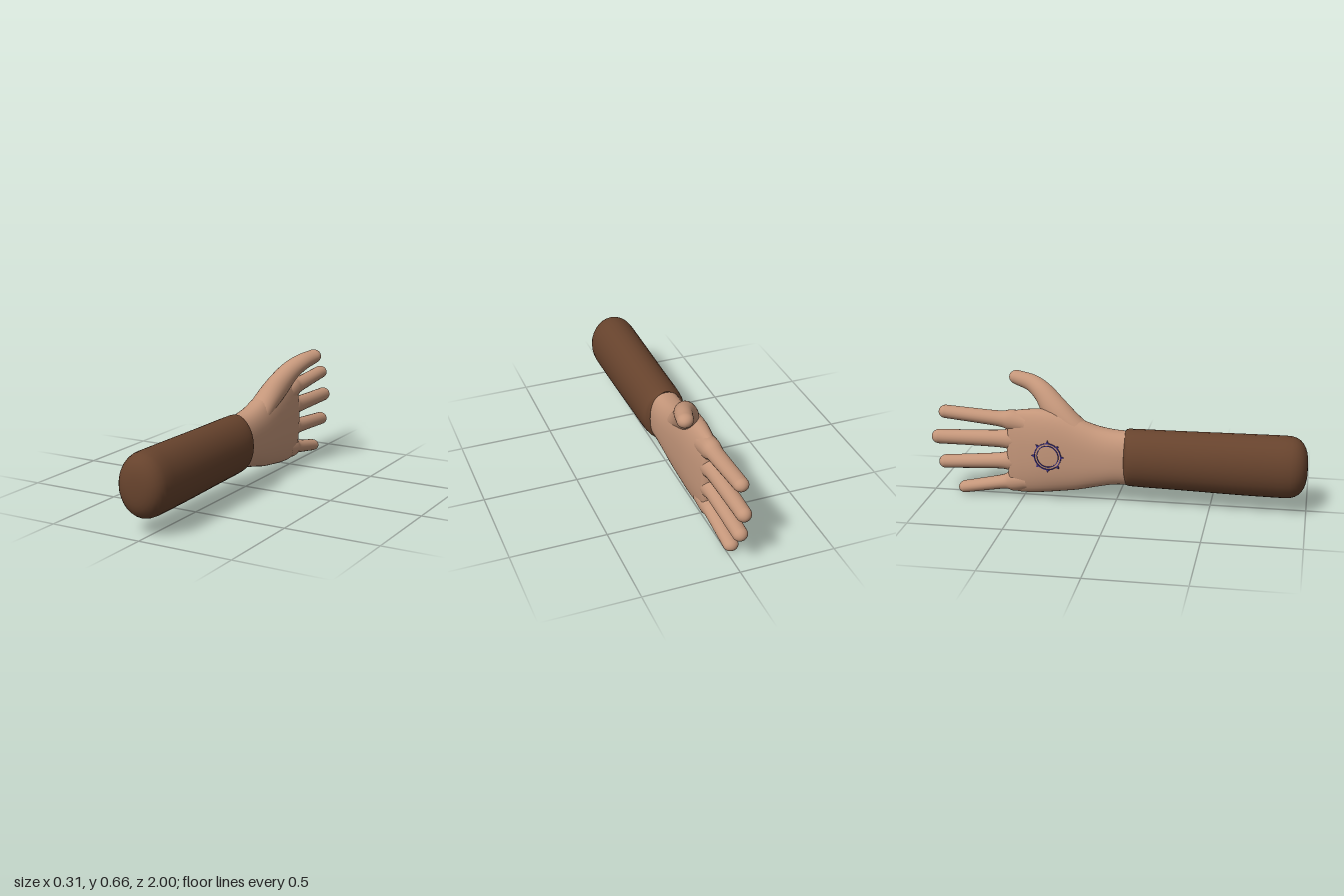
import * as THREE from 'three';

const skin = new THREE.MeshStandardMaterial({ color: 0xc4967a });
skin.name = 'skin';
const cloth = new THREE.MeshStandardMaterial({ color: 0x67432d });
cloth.name = 'brown sleeve';
const ink = new THREE.MeshStandardMaterial({ color: 0x3d2f7d });
ink.name = 'violet ink';

const signedPow = (v, p) => Math.sign(v) * Math.pow(Math.abs(v), p);

// Smooth tube through keys [x, y, z, halfWidth, halfHeight], closed by a rounded end.
// axis fixes the ring direction; without it, rings follow the path.
function loft(keys, { cap, axis = null, square = 2, capPower = 1, steps = 24, sides = 28 }) {
  const path = new THREE.CatmullRomCurve3(keys.map(k => new THREE.Vector3(k[0], k[1], k[2])), false, 'catmullrom');
  const size = new THREE.CatmullRomCurve3(keys.map(k => new THREE.Vector3(k[3], k[4], 0)), false, 'catmullrom');
  const positions = [], index = [];
  const addRing = (c, t, hx, hy) => {
    const u = new THREE.Vector3(1, 0, 0).addScaledVector(t, -t.x).normalize();
    const v = new THREE.Vector3().crossVectors(t, u);
    for (let j = 0; j < sides; j++) {
      const a = (j / sides) * Math.PI * 2;
      const p = c.clone()
        .addScaledVector(u, hx * signedPow(Math.cos(a), 2 / square))
        .addScaledVector(v, hy * signedPow(Math.sin(a), 2 / square));
      positions.push(p.x, p.y, p.z);
    }
  };
  for (let i = 0; i <= steps; i++) {
    const s = size.getPoint(i / steps);
    addRing(path.getPoint(i / steps), axis || path.getTangent(i / steps), s.x, s.y);
  }
  // rounded end
  const end = path.getPoint(1), dir = axis || path.getTangent(1), last = size.getPoint(1);
  const capRings = 8;
  for (let i = 1; i < capRings; i++) {
    const a = (i / capRings) * Math.PI / 2;
    const k = Math.pow(Math.cos(a), capPower);
    const c = end.clone().addScaledVector(dir, cap * Math.pow(Math.sin(a), capPower));
    addRing(c, dir, last.x * k, last.y * k);
  }
  const tip = end.clone().addScaledVector(dir, cap);
  const rings = positions.length / 3 / sides;
  positions.push(tip.x, tip.y, tip.z);
  for (let j = 0; j < sides; j++) {
    const n = (j + 1) % sides;
    for (let i = 0; i < rings - 1; i++) {
      const a = i * sides + j, b = i * sides + n;
      index.push(a, b, b + sides, a, b + sides, a + sides);
    }
    index.push((rings - 1) * sides + j, (rings - 1) * sides + n, rings * sides);
  }
  const g = new THREE.BufferGeometry();
  g.setAttribute('position', new THREE.Float32BufferAttribute(positions, 3));
  g.setIndex(index);
  g.computeVertexNormals();
  return g;
}

export function createModel() {
  const group = new THREE.Group();
  const add = (name, geometry, material, parent = group) => {
    const m = new THREE.Mesh(geometry, material);
    m.name = name;
    parent.add(m);
    return m;
  };

  // Sleeve: open cuff at the wrist, rounded closed end at the front
  add('sleeve', loft([
    [-0.022, 0.254, 0.055, 0.082, 0.14],
    [-0.022, 0.255, 0.058, 0.098, 0.152],
    [-0.022, 0.254, 0.11, 0.122, 0.155],
    [-0.022, 0.252, 0.35, 0.126, 0.158],
    [-0.022, 0.25, 0.65, 0.13, 0.163],
    [-0.022, 0.25, 0.88, 0.132, 0.165],
  ], { cap: 0.12, axis: new THREE.Vector3(0, 0, 1), capPower: 0.75, steps: 40 }), cloth);

  const hand = new THREE.Group();
  hand.name = 'hand';
  group.add(hand);

  // Palm and wrist
  add('palm', loft([
    [-0.023, 0.253, 0.1, 0.088, 0.144],
    [-0.024, 0.253, 0, 0.09, 0.147],
    [-0.024, 0.252, -0.1, 0.088, 0.166],
    [-0.024, 0.258, -0.2, 0.086, 0.195],
    [-0.024, 0.268, -0.3, 0.083, 0.22],
    [-0.024, 0.266, -0.4, 0.077, 0.231],
    [-0.024, 0.259, -0.5, 0.063, 0.23],
    [-0.024, 0.257, -0.555, 0.052, 0.222],
  ], { cap: 0.03, axis: new THREE.Vector3(0, 0, -1), square: 2.4, steps: 35, sides: 40 }), skin, hand);

  // Fingers: base height, tip height, tip depth, radius
  const fingers = [
    ['indexFinger', 0.428, 0.457, -0.955, 0.037],
    ['middleFinger', 0.322, 0.316, -1.0, 0.041],
    ['ringFinger', 0.202, 0.176, -0.965, 0.038],
    ['littleFinger', 0.088, 0.037, -0.86, 0.034],
  ];
  for (const [name, y0, y1, zTip, r] of fingers) {
    const at = (f, hx, hy) => [-0.024, y0 + (y1 - y0) * f, -0.56 + (zTip + r + 0.56) * f, hx, hy];
    add(name, loft([
      [-0.024, y0 + (0.26 - y0) * 0.08, -0.48, 0.056, 0.056],
      at(0, 0.052, 0.057),
      at(0.16, 0.045, r * 1.15),
      at(0.55, 0.042, r * 1.02),
      at(1, 0.039, r * 0.95),
    ], { cap: r, sides: 20 }), skin, hand);
  }

  // Thumb, curving up and towards the model's left
  add('thumb', loft([
    [-0.022, 0.33, -0.12, 0.072, 0.055],
    [-0.014, 0.41, -0.23, 0.068, 0.062],
    [0.01, 0.485, -0.325, 0.062, 0.07],
    [0.048, 0.56, -0.395, 0.054, 0.056],
    [0.085, 0.603, -0.465, 0.047, 0.046],
    [0.112, 0.624, -0.555, 0.042, 0.038],
  ], { cap: 0.045, steps: 32 }), skin, hand);

  // Painted ring with small points on the right face of the hand
  const mark = new THREE.Group();
  mark.name = 'paintedRing';
  for (const [outer, inner] of [[0.074, 0.069], [0.06, 0.056]]) {
    const ring = new THREE.Shape().absarc(0, 0, outer, 0, Math.PI * 2);
    ring.holes.push(new THREE.Path().absarc(0, 0, inner, 0, Math.PI * 2, true));
    add('ringLine', new THREE.ExtrudeGeometry(ring, { depth: 0.008, bevelEnabled: false, curveSegments: 24 }), ink, mark);
  }
  const point = new THREE.Shape([[-0.009, 0.072], [0.009, 0.072], [0, 0.088]].map(p => new THREE.Vector2(...p)));
  for (let i = 0; i < 8; i++) {
    const m = add('ringPoint', new THREE.ExtrudeGeometry(point, { depth: 0.008, bevelEnabled: false }), ink, mark);
    m.rotation.z = (i * Math.PI) / 4;
  }
  mark.position.set(-0.1005, 0.262, -0.35);
  mark.rotation.y = -Math.PI / 2 - 0.07;
  group.add(mark);

  return group;
}
